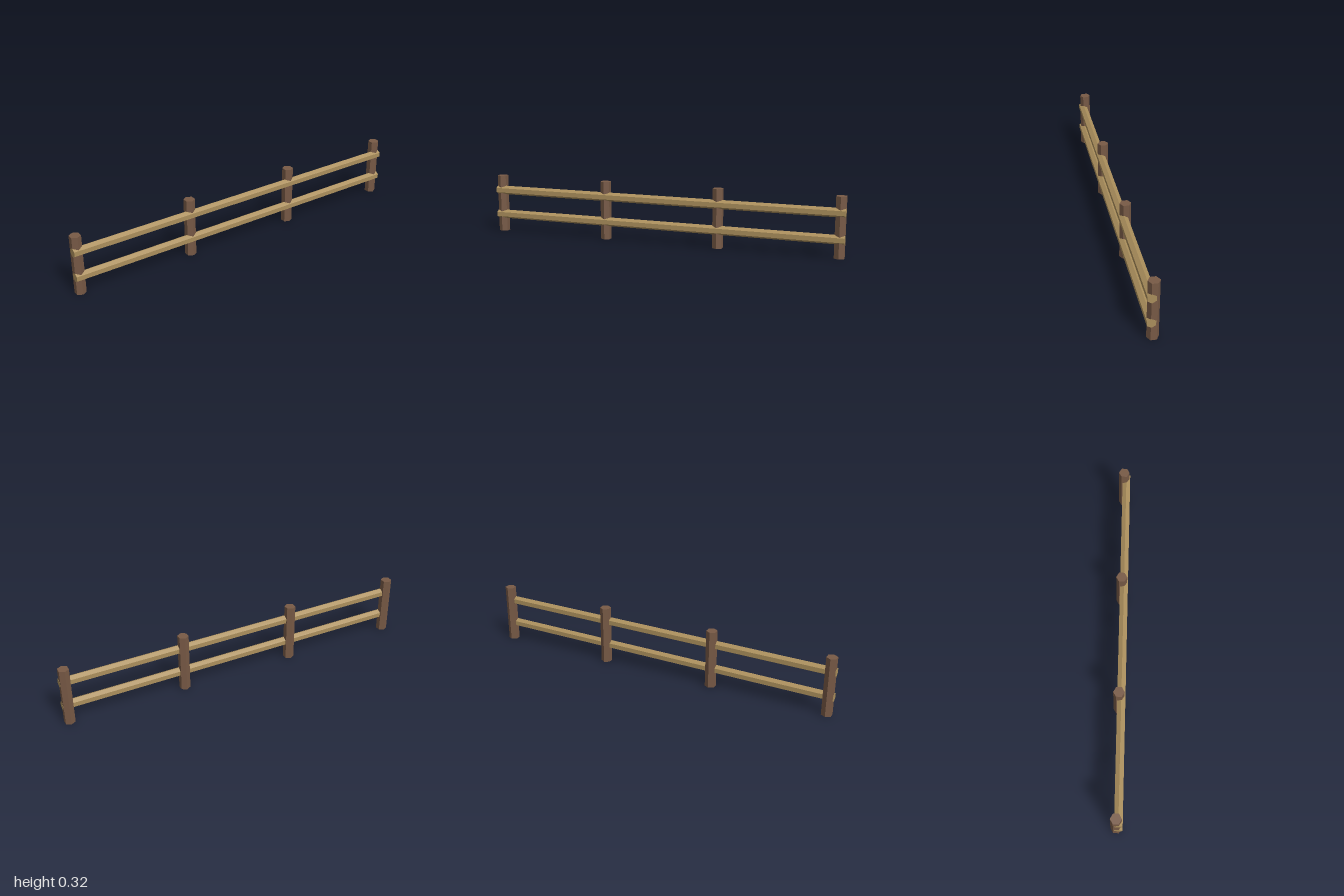
import * as THREE from 'three';

export function createModel() {
  const fence = new THREE.Group();
  fence.name = 'fence';

  const darkWood = new THREE.MeshStandardMaterial({ color: 0x785a46, flatShading: true });
  darkWood.name = 'dark wood';
  const lightWood = new THREE.MeshStandardMaterial({ color: 0xab8f5c, flatShading: true });
  lightWood.name = 'light wood';

  // Four hexagonal posts, edges facing front and back
  const postHeight = 0.325;
  const postGeometry = new THREE.CylinderGeometry(0.03, 0.03, postHeight, 6);
  const outerX = 0.9735;
  for (let i = 0; i < 4; i++) {
    const post = new THREE.Mesh(postGeometry, darkWood);
    post.name = `post${i + 1}`;
    post.position.set(-outerX + (i * 2 * outerX) / 3, postHeight / 2, -0.0015);
    fence.add(post);
  }

  // Two hexagonal rails, edges facing up and down, set toward the front
  const railGeometry = new THREE.CylinderGeometry(0.025, 0.025, 2, 6)
    .rotateY(Math.PI / 6)
    .rotateZ(Math.PI / 2);
  for (const [name, y] of [['lowerRail', 0.1], ['upperRail', 0.241]]) {
    const rail = new THREE.Mesh(railGeometry, lightWood);
    rail.name = name;
    rail.position.set(0, y, 0.011);
    fence.add(rail);
  }

  return fence;
}
